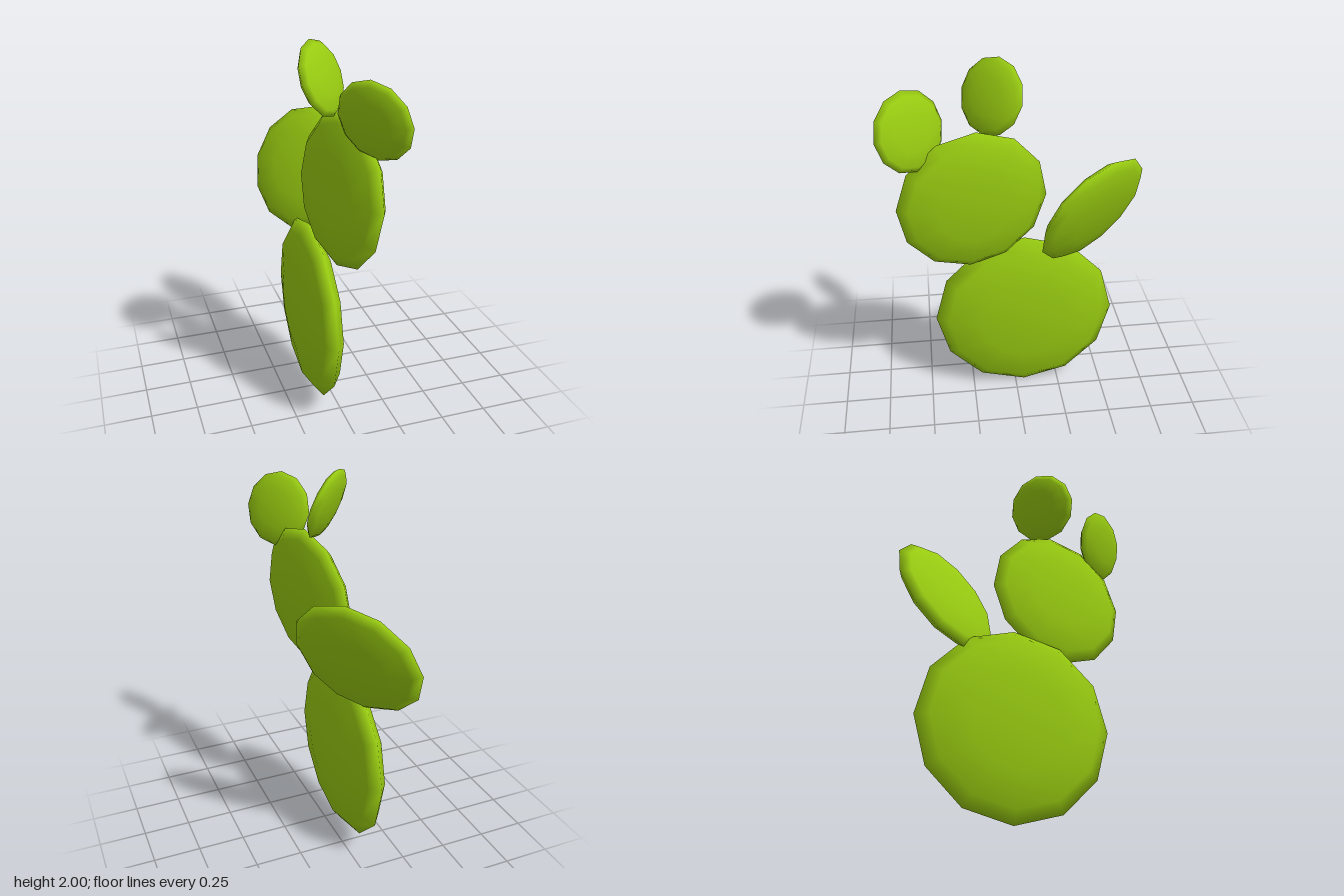
import * as THREE from 'three';

const green = new THREE.MeshStandardMaterial({ color: 0x99cc11 });

// One flattened, low-sided pad whose thin axis is x before it is turned
function makePad({ name, radius, thickness, position, yaw = 0, lean = 0, spin = 0 }) {
  const geometry = new THREE.SphereGeometry(1, 12, 6);
  geometry.rotateZ(Math.PI / 2);
  geometry.scale(thickness, radius, radius);
  const pad = new THREE.Mesh(geometry, green);
  pad.name = name;
  pad.position.set(...position);
  pad.rotation.set(spin, yaw, lean, 'YZX');
  return pad;
}

// Cactus pads from the ground up
const pads = [
  { name: 'basePad', radius: 0.5, thickness: 0.1, position: [-0.08, 0.503, -0.05] },
  { name: 'middlePad', radius: 0.395, thickness: 0.08, position: [0, 1.283, 0.225], yaw: 0.19, lean: -0.07, spin: -0.045 },
  { name: 'backPad', radius: 0.347, thickness: 0.07, position: [0, 1.195, -0.398], yaw: 0.62, lean: -0.38 },
  { name: 'upperPad', radius: 0.19, thickness: 0.045, position: [-0.062, 1.82, 0.118], yaw: -0.785, lean: 0.35 },
  { name: 'frontPad', radius: 0.198, thickness: 0.045, position: [0.055, 1.71, 0.518], yaw: 0.64, lean: 0.22 },
];

export function createModel() {
  const cactus = new THREE.Group();
  cactus.name = 'cactus';
  for (const pad of pads) cactus.add(makePad(pad));
  return cactus;
}
